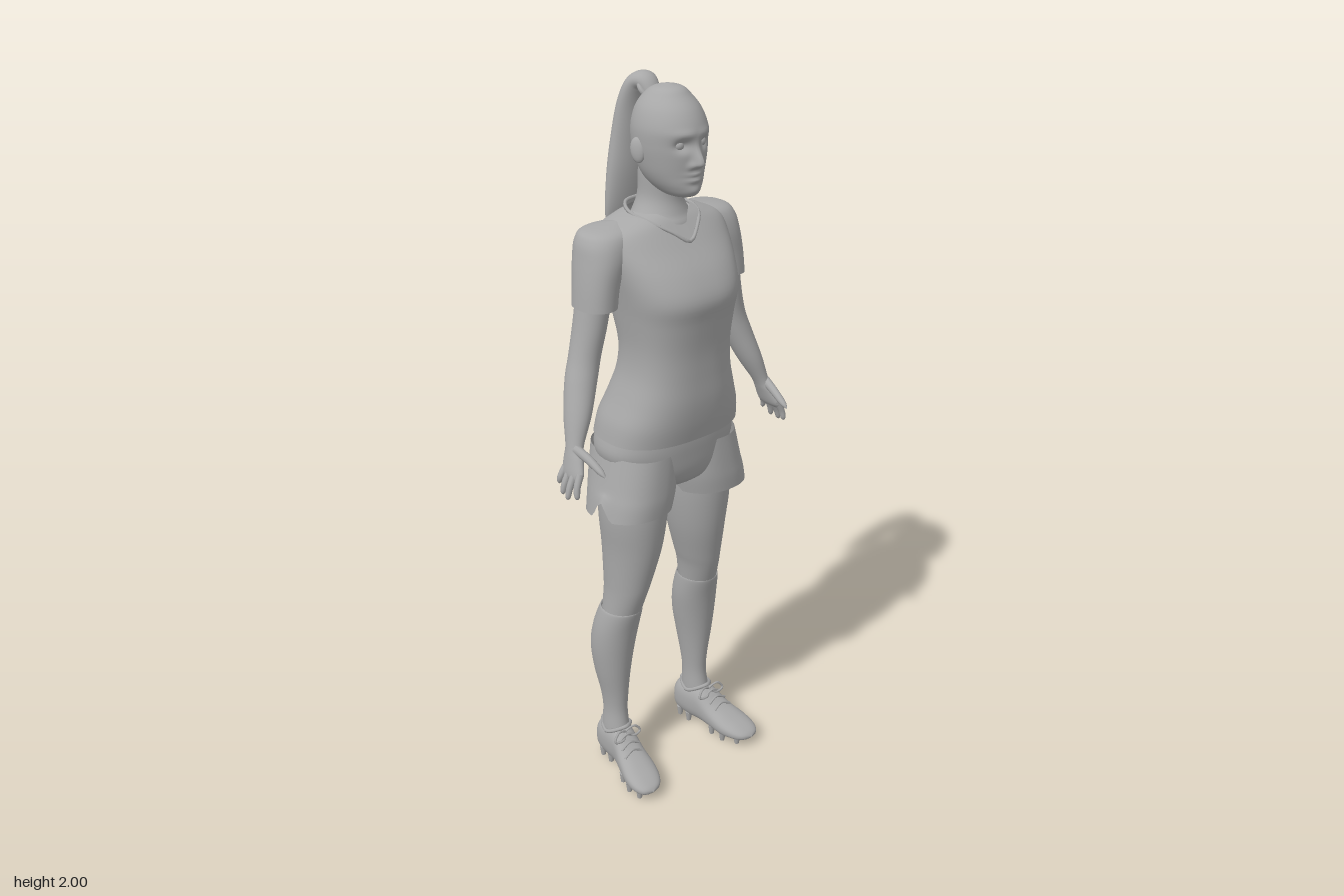
import * as THREE from 'three';

const grey = new THREE.MeshStandardMaterial({ color: 0xa8a8a8, side: THREE.DoubleSide });
grey.name = 'plain grey';

function addMesh(parent, name, geometry) {
  const m = new THREE.Mesh(geometry, grey);
  m.name = name;
  parent.add(m);
  return m;
}

// Skin rows of points (each a closed ring) into one smooth surface
function skin(rows, flip = false) {
  const n = rows[0].length, pos = [], idx = [];
  rows.forEach(r => r.forEach(p => pos.push(p.x, p.y, p.z)));
  for (let i = 0; i < rows.length - 1; i++) for (let j = 0; j < n; j++) {
    const a = i * n + j, b = i * n + (j + 1) % n, c = a + n, d = b + n;
    if (flip) idx.push(a, b, c, b, d, c);
    else idx.push(a, c, b, b, c, d);
  }
  const g = new THREE.BufferGeometry();
  g.setAttribute('position', new THREE.Float32BufferAttribute(pos, 3));
  g.setIndex(idx);
  g.computeVertexNormals();
  return g;
}

// Smoothly interpolate a list of parameter rows
function refine(keys, steps) {
  const out = [], last = keys.length - 1;
  for (let i = 0; i < last; i++) for (let s = 0; s < steps; s++) {
    const t = s / steps;
    const k = [Math.max(i - 1, 0), i, i + 1, Math.min(i + 2, last)].map(q => keys[q]);
    out.push(k[1].map((v, c) => {
      const m1 = (k[2][c] - k[0][c]) / 2, m2 = (k[3][c] - v) / 2, d = k[2][c] - v;
      return v + m1 * t + (3 * d - 2 * m1 - m2) * t * t + (m1 + m2 - 2 * d) * t * t * t;
    }));
  }
  out.push(keys[last]);
  return out;
}

// Loft of super-ellipses; each key is [position on axis, centre x, half width, high edge, low edge]
function loft(keys, { axis = 'y', side = 1, power = 2, n = 36, steps = 5, warp } = {}) {
  const e = 2 / power, f = v => Math.sign(v) * Math.abs(v) ** e;
  const rows = refine(keys, steps).map(([t, cx, w, hi, lo]) => Array.from({ length: n }, (_, j) => {
    const a = j / n * Math.PI * 2;
    const x = side * cx + Math.max(w, 0) * f(Math.cos(a));
    const q = (hi + lo) / 2 + (hi - lo) / 2 * f(Math.sin(a));
    const p = axis === 'y' ? new THREE.Vector3(x, t, q) : new THREE.Vector3(x, q, t);
    if (warp) warp(p, a);
    return p;
  }));
  return skin(rows, (axis === 'z') !== (keys[0][0] > keys[keys.length - 1][0]));
}

// Sweep of ellipses along a path; each key is [x, y, z, half width, half thickness]
function sweep(keys, n = 16, steps = 4) {
  const rows = refine(keys, steps), at = r => new THREE.Vector3(r[0], r[1], r[2]);
  return skin(rows.map((r, i) => {
    const T = at(rows[Math.min(i + 1, rows.length - 1)]).sub(at(rows[Math.max(i - 1, 0)])).normalize();
    const X = new THREE.Vector3(1, 0, 0).addScaledVector(T, -T.x).normalize();
    const N = new THREE.Vector3().crossVectors(T, X);
    return Array.from({ length: n }, (_, j) => {
      const a = j / n * Math.PI * 2;
      return at(r).addScaledVector(X, r[3] * Math.cos(a)).addScaledVector(N, r[4] * Math.sin(a));
    });
  }), true);
}

function tube(points, radius, closed = false) {
  const c = new THREE.CatmullRomCurve3(points.map(p => new THREE.Vector3(...p)), closed);
  return new THREE.TubeGeometry(c, 48, radius, 6, closed);
}

const bump = (v, c, s) => Math.exp(-(((v - c) / s) ** 2));

// Face relief: brow, eye sockets, nose, lips and chin
function sculptFace(p, a) {
  if (Math.sin(a) < 0.2) return;
  const x = Math.abs(p.x), y = p.y;
  p.z += 0.028 * bump(x, 0, 0.011) * bump(y, 1.812, y > 1.812 ? 0.03 : 0.011);
  p.z += 0.007 * bump(x, 0.016, 0.008) * bump(y, 1.806, 0.009);
  p.z -= 0.014 * bump(x, 0.034, 0.018) * bump(y, 1.855, 0.014);
  p.z += 0.004 * bump(x, 0.032, 0.03) * bump(y, 1.882, 0.01);
  p.z += 0.008 * bump(x, 0, 0.022) * (bump(y, 1.785, 0.006) + bump(y, 1.77, 0.007));
  p.z += 0.006 * bump(x, 0, 0.022) * bump(y, 1.742, 0.012);
}

function buildHead(g) {
  addMesh(g, 'head', loft([
    [1.718, 0, 0.001, 0.06, 0.055], [1.727, 0, 0.034, 0.1, 0.0], [1.75, 0, 0.057, 0.112, -0.045],
    [1.78, 0, 0.073, 0.112, -0.068], [1.815, 0, 0.082, 0.115, -0.083], [1.85, 0, 0.087, 0.117, -0.09],
    [1.89, 0, 0.087, 0.116, -0.089], [1.93, 0, 0.075, 0.097, -0.077], [1.96, 0, 0.054, 0.069, -0.054],
    [1.977, 0, 0.034, 0.048, -0.028], [1.985, 0, 0.001, 0.012, 0.01]
  ], { n: 96, steps: 8, warp: sculptFace }));
  addMesh(g, 'neck', loft([
    [1.58, 0, 0.1, 0.06, -0.1], [1.64, 0, 0.095, 0.064, -0.1], [1.67, 0, 0.072, 0.05, -0.092],
    [1.71, 0, 0.055, 0.04, -0.083], [1.77, 0, 0.054, 0.045, -0.08], [1.82, 0, 0.05, 0.04, -0.07]
  ]));
  for (const s of [1, -1]) {
    const eye = addMesh(g, 'eye', new THREE.SphereGeometry(0.014, 16, 12));
    eye.position.set(s * 0.034, 1.855, 0.088);
    const ear = addMesh(g, 'ear', new THREE.SphereGeometry(1, 16, 12));
    ear.scale.set(0.01, 0.031, 0.02);
    ear.position.set(s * 0.088, 1.835, 0.0);
    ear.rotation.set(-0.2, s * -0.35, 0);
  }
  // Ponytail with its band and ragged ends
  addMesh(g, 'ponytail', sweep([
    [0, 1.94, -0.045, 0.022, 0.018], [0, 1.974, -0.07, 0.03, 0.022], [0, 1.968, -0.1, 0.04, 0.026],
    [0, 1.92, -0.121, 0.05, 0.029], [0, 1.84, -0.133, 0.06, 0.033], [0, 1.75, -0.14, 0.071, 0.034],
    [0, 1.66, -0.146, 0.076, 0.026], [0, 1.61, -0.15, 0.07, 0.014], [0, 1.595, -0.152, 0.06, 0.002]
  ], 28, 6));
  const band = addMesh(g, 'hairBand', new THREE.TorusGeometry(0.027, 0.007, 8, 24));
  band.position.set(0, 1.962, -0.062);
  band.rotation.x = -0.75;
  for (let i = 0; i < 7; i++) {
    const lock = addMesh(g, 'hairTip', new THREE.ConeGeometry(0.013, 0.06 + 0.012 * (i % 3), 6));
    lock.position.set((i - 3) * 0.02, 1.592, -0.151);
    lock.rotation.x = Math.PI;
    lock.scale.z = 0.6;
  }
}

function buildShirt(g) {
  addMesh(g, 'shirt', loft([
    [1.088, 0, 0.203, 0.14, -0.142], [1.14, 0, 0.193, 0.15, -0.135], [1.2, 0, 0.17, 0.156, -0.115],
    [1.27, 0, 0.149, 0.156, -0.093], [1.34, 0, 0.144, 0.158, -0.088], [1.42, 0, 0.153, 0.168, -0.108],
    [1.48, 0, 0.163, 0.176, -0.123], [1.54, 0, 0.175, 0.148, -0.13], [1.6, 0, 0.185, 0.1, -0.128],
    [1.64, 0, 0.175, 0.068, -0.118], [1.662, 0, 0.125, 0.05, -0.108], [1.675, 0, 0.08, 0.035, -0.095]
  ], { power: 2.5, n: 56 }));
  addMesh(g, 'collar', tube([
    [0, 1.612, 0.094], [0.04, 1.637, 0.074], [0.08, 1.662, 0.03], [0.088, 1.674, -0.035], [0.055, 1.683, -0.09],
    [0, 1.685, -0.102], [-0.055, 1.683, -0.09], [-0.088, 1.674, -0.035], [-0.08, 1.662, 0.03], [-0.04, 1.637, 0.074]
  ], 0.005, true));
}

function buildArm(g, side) {
  addMesh(g, 'sleeve', loft([
    [1.462, 0.214, 0.05, 0.045, -0.085], [1.52, 0.206, 0.052, 0.045, -0.09], [1.58, 0.188, 0.061, 0.045, -0.103],
    [1.625, 0.172, 0.067, 0.035, -0.105], [1.648, 0.155, 0.06, 0.015, -0.092], [1.66, 0.13, 0.002, -0.03, -0.04]
  ], { side, power: 2.2 }));
  addMesh(g, 'arm', loft([
    [1.53, 0.207, 0.042, 0.03, -0.075], [1.42, 0.226, 0.042, 0.024, -0.072], [1.34, 0.246, 0.041, 0.02, -0.066],
    [1.28, 0.266, 0.041, 0.028, -0.058], [1.2, 0.295, 0.034, 0.045, -0.034], [1.13, 0.322, 0.021, 0.053, -0.002],
    [1.1, 0.332, 0.018, 0.068, 0.0], [1.06, 0.344, 0.014, 0.084, 0.004], [1.045, 0.349, 0.002, 0.07, 0.02]
  ], { side }));
  // Fingers: base z, tip z, tip y, tip x
  for (const [z0, z1, y1, x1] of [[0.013, 0.005, 1.022, 0.358], [0.033, 0.03, 1.004, 0.366],
    [0.054, 0.056, 1.0, 0.37], [0.074, 0.084, 1.008, 0.362]]) {
    const mid = (a, b) => (a + b) / 2;
    addMesh(g, 'finger', sweep([
      [side * 0.343, 1.07, z0, 0.01, 0.01], [side * (mid(0.346, x1) + 0.004), mid(1.07, y1), mid(z0, z1), 0.009, 0.009],
      [side * x1, y1 + 0.008, z1, 0.007, 0.007], [side * x1, y1, z1, 0.0005, 0.0005]
    ], 10));
  }
  addMesh(g, 'thumb', sweep([
    [side * 0.33, 1.125, 0.04, 0.012, 0.014], [side * 0.322, 1.108, 0.085, 0.011, 0.012],
    [side * 0.317, 1.088, 0.125, 0.009, 0.008], [side * 0.316, 1.078, 0.142, 0.001, 0.001]
  ], 10));
}

function buildLeg(g, side) {
  // Shorts leg, with a slit in the outer hem
  addMesh(g, 'shortsLeg', loft([
    [0.862, 0.133, 0.106, 0.122, -0.114], [0.92, 0.123, 0.107, 0.124, -0.12], [0.98, 0.112, 0.104, 0.122, -0.13],
    [1.05, 0.1, 0.1, 0.118, -0.138]
  ], {
    side, power: 2.3, n: 64, warp: p => {
      const low = THREE.MathUtils.clamp((0.95 - p.y) / 0.09, 0, 1);
      if (p.x * side > 0.17) p.y += 0.06 * low * Math.max(0, 1 - Math.abs(p.z - 0.015) / 0.035);
      p.y += 0.1 * low * (p.z + 0.114);
    }
  }));
  addMesh(g, 'leg', loft([
    [0.98, 0.108, 0.09, 0.1, -0.11], [0.86, 0.113, 0.09, 0.098, -0.106], [0.75, 0.116, 0.077, 0.086, -0.1],
    [0.65, 0.127, 0.062, 0.066, -0.09], [0.6, 0.134, 0.055, 0.054, -0.085], [0.53, 0.142, 0.052, 0.032, -0.085]
  ], { side }));
  addMesh(g, 'sock', loft([
    [0.546, 0.141, 0.053, 0.034, -0.086], [0.543, 0.142, 0.058, 0.038, -0.091], [0.48, 0.148, 0.064, 0.023, -0.11],
    [0.41, 0.153, 0.061, 0.012, -0.12], [0.33, 0.155, 0.05, 0.003, -0.112], [0.25, 0.153, 0.037, -0.004, -0.096],
    [0.19, 0.153, 0.032, -0.006, -0.088], [0.13, 0.155, 0.035, 0.003, -0.092], [0.08, 0.156, 0.035, 0.01, -0.095]
  ], { side }));
  // Boot, from heel to toe
  addMesh(g, 'boot', loft([
    [-0.117, 0.152, 0.001, 0.07, 0.066], [-0.112, 0.152, 0.02, 0.105, 0.035], [-0.09, 0.152, 0.037, 0.13, 0.02],
    [-0.04, 0.155, 0.042, 0.138, 0.018], [0.0, 0.16, 0.042, 0.137, 0.02], [0.05, 0.17, 0.048, 0.1, 0.02],
    [0.1, 0.18, 0.053, 0.077, 0.017], [0.14, 0.187, 0.046, 0.061, 0.02], [0.165, 0.191, 0.029, 0.048, 0.025],
    [0.175, 0.192, 0.001, 0.037, 0.034]
  ], { axis: 'z', side, power: 2.4 }));
  addMesh(g, 'bootCuff', tube([
    [side * 0.157, 0.15, 0.008], [side * 0.196, 0.128, -0.035], [side * 0.154, 0.132, -0.098], [side * 0.115, 0.128, -0.035]
  ], 0.006, true));
  for (const s of [1, -1]) addMesh(g, 'laceLoop', tube([
    [side * 0.163, 0.135, 0.012], [side * 0.163 + s * 0.03, 0.146, 0.016], [side * 0.163 + s * 0.046, 0.125, 0.022],
    [side * 0.163 + s * 0.02, 0.122, 0.026]
  ], 0.0035, true));
  for (let i = 0; i < 3; i++) addMesh(g, 'lace', tube([
    [side * (0.135 + i * 0.004), 0.118 - i * 0.014, 0.022 + i * 0.02], [side * (0.166 + i * 0.003), 0.133 - i * 0.015, 0.022 + i * 0.018],
    [side * (0.197 + i * 0.004), 0.118 - i * 0.014, 0.022 + i * 0.02]
  ], 0.0035));
  // Studs
  for (const [x, z] of [[0.132, -0.085], [0.172, -0.085], [0.132, -0.045], [0.174, -0.045], [0.142, 0.05],
    [0.204, 0.05], [0.145, 0.095], [0.217, 0.095], [0.168, 0.135], [0.212, 0.135]]) {
    const stud = addMesh(g, 'stud', new THREE.CylinderGeometry(0.011, 0.007, 0.03, 10));
    stud.position.set(side * x, 0.015, z);
  }
}

export function createModel() {
  const model = new THREE.Group();
  model.name = 'footballPlayer';
  const part = name => { const g = new THREE.Group(); g.name = name; model.add(g); return g; };
  buildHead(part('headAndHair'));
  buildShirt(part('shirtBody'));
  // Seat of the shorts
  addMesh(model, 'shortsSeat', loft([
    [0.925, 0, 0.02, 0.02, -0.02], [0.94, 0, 0.1, 0.09, -0.09], [0.98, 0, 0.17, 0.115, -0.122],
    [1.04, 0, 0.205, 0.123, -0.138], [1.09, 0, 0.2, 0.125, -0.14], [1.14, 0, 0.18, 0.12, -0.12]
  ], { power: 2.3, n: 48 }));
  for (const side of [1, -1]) {
    const label = side > 0 ? 'left' : 'right';
    buildArm(part(label + 'Arm'), side);
    buildLeg(part(label + 'Leg'), side);
  }
  return model;
}
